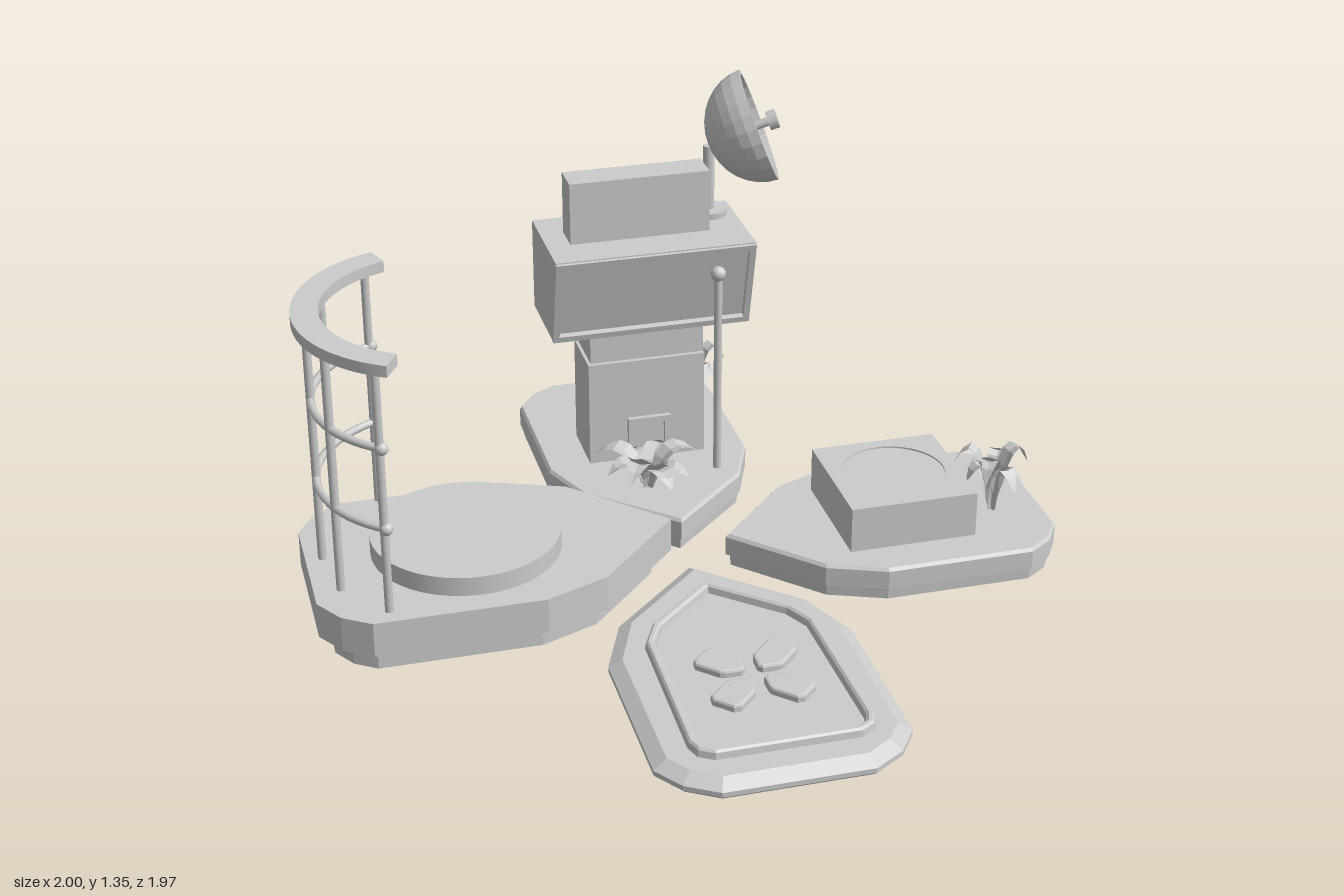
import * as THREE from 'three';

const grey = new THREE.MeshStandardMaterial({ color: 0xcccccc });
const flat = new THREE.MeshStandardMaterial({ color: 0xcccccc, flatShading: true });
const flatThin = new THREE.MeshStandardMaterial({ color: 0xcccccc, flatShading: true, side: THREE.DoubleSide });

function add(parent, name, geo, mat, x = 0, y = 0, z = 0) {
  const m = new THREE.Mesh(geo, mat);
  m.name = name;
  m.position.set(x, y, z);
  parent.add(m);
  return m;
}

function group(parent, name, x = 0, y = 0, z = 0, turn = 0) {
  const g = new THREE.Group();
  g.name = name;
  g.position.set(x, y, z);
  g.rotation.y = turn;
  parent.add(g);
  return g;
}

// Petal outlines: a tip at (-,-), then one half mirrored across the diagonal.
const mirrored = (tip, half) => [[tip, tip], ...half, ...half.map(([a, b]) => [b, a]).reverse()];
const petalOutline = mirrored(-0.43, [[-0.44, -0.08], [-0.365, 0.095], [-0.04, 0.42], [0.05, 0.437], [0.145, 0.415]]);
const frameOutline = mirrored(-0.38, [[-0.393, -0.09], [-0.36, 0.005], [-0.01, 0.37], [0.035, 0.392], [0.085, 0.38]]);

// Loft of an outline through layers of [height, inset]; a null inset closes it at the centre.
function slab(outline, sx, sz, size, layers) {
  const loop = outline.map(([a, b]) => [a * sx * size, b * sz * size]);
  if (sx * sz < 0) loop.reverse();
  const n = loop.length, pos = [];
  const normal = loop.map(([x, z], i) => {
    const [x2, z2] = loop[(i + 1) % n], l = Math.hypot(x2 - x, z2 - z);
    return [(z - z2) / l, (x2 - x) / l];
  });
  const at = ([y, inset], i) => {
    if (inset === null) return [0, y, 0];
    const a = normal[(i + n - 1) % n], b = normal[i % n], [x, z] = loop[i % n];
    const k = inset / (1 + a[0] * b[0] + a[1] * b[1]);
    return [x - k * (a[0] + b[0]), y, z - k * (a[1] + b[1])];
  };
  for (let l = 0; l < layers.length - 1; l++) {
    const low = layers[l], high = layers[l + 1];
    for (let i = 0; i < n; i++) {
      if (low[1] !== null) pos.push(...at(low, i), ...at(low, i + 1), ...at(high, i + 1));
      if (high[1] !== null) pos.push(...at(low, i), ...at(high, i + 1), ...at(high, i));
    }
  }
  const g = new THREE.BufferGeometry();
  g.setAttribute('position', new THREE.Float32BufferAttribute(pos, 3));
  g.computeVertexNormals();
  return g;
}

const shapeOf = (points) => new THREE.Shape(points.map(([x, y]) => new THREE.Vector2(x, y)));
const rectShape = (w, h) => shapeOf([[-w / 2, -h / 2], [w / 2, -h / 2], [w / 2, h / 2], [-w / 2, h / 2]]);
const extrude = (shape, depth) => new THREE.ExtrudeGeometry(shape, { depth, bevelEnabled: false, curveSegments: 24 });

// Arching, pointed leaf with a diamond section.
function leaf(reach, height, width) {
  const g = new THREE.CylinderGeometry(1, 1, 1, 4, 6), p = g.attributes.position;
  for (let i = 0; i < p.count; i++) {
    const t = p.getY(i) + 0.5;
    const w = width * (0.35 + 1.5 * t) * (1 - t ** 2.2);
    const nz = p.getZ(i) * w * 0.25;
    p.setXYZ(i, p.getX(i) * w,
      height * Math.sin(t * 2.4) + nz * Math.sin(t * 1.5),
      reach * t ** 1.3 - nz * Math.cos(t * 1.5));
  }
  g.computeVertexNormals();
  return g;
}

function plant(parent, x, z, reach, height, width) {
  const g = group(parent, 'plant', x, 0.1, z);
  for (let i = 0; i < 8; i++) {
    const k = 0.88 + 0.12 * Math.sin(i * 2.4);
    add(g, 'leaf', leaf(reach * k, height * (1.05 - 0.15 * (i % 3)), width), flat).rotation.y = i * Math.PI / 4 + 0.2;
  }
}

// Curve along an arc in the ground plane.
class Arc extends THREE.Curve {
  constructor(r, a, b) { super(); Object.assign(this, { r, a, b }); }
  getPoint(t, v = new THREE.Vector3()) {
    const q = this.a + (this.b - this.a) * t;
    return v.set(this.r * Math.cos(q), 0, this.r * Math.sin(q));
  }
}

function buttonPetal(root) {
  const g = group(root, 'buttonPetal', 0.507, 0, 0.49);
  add(g, 'base', slab(petalOutline, 1, 1, 1.13, [[0, null], [0, 0.01], [0.01, 0], [0.025, 0], [0.05, 0.04], [0.05, null]]), flat);
  add(g, 'raisedFrame', slab(frameOutline, 1, 1, 1, [[0.045, 0], [0.07, 0.004], [0.076, 0.01], [0.076, 0.02], [0.07, 0.027], [0.045, 0.032]]), flat, 0.008);
  const s = shapeOf([[-0.03, 0.17], [-0.04, 0.16], [-0.04, 0.085], [-0.035, 0.075], [-0.005, 0.044],
    [0.005, 0.044], [0.035, 0.075], [0.04, 0.085], [0.04, 0.16], [0.03, 0.17]]);
  const geo = new THREE.ExtrudeGeometry(s, { depth: 0.02, bevelSize: 0.009, bevelThickness: 0.008, bevelSegments: 2 });
  geo.rotateX(-Math.PI / 2);
  for (let i = 0; i < 4; i++) add(g, 'button', geo, grey, -0.007, 0.045, -0.02).rotation.y = i * Math.PI / 2;
}

function railingPetal(root) {
  const g = group(root, 'railingPetal', -0.515, 0, 0.48);
  add(g, 'base', slab(petalOutline, -1, 1, 1.1, [[0, null], [0, 0.045], [0.07, 0.045], [0.07, 0], [0.18, 0], [0.18, null]]), flat);
  add(g, 'platform', new THREE.CylinderGeometry(0.285, 0.285, 0.06, 48), grey, 0.025, 0.21, -0.03);
  const r = group(g, 'railing', -0.005, 0, -0.002), rad = THREE.MathUtils.degToRad;
  const cap = new THREE.Shape();
  cap.absarc(0, 0, 0.425, rad(75), rad(206), false);
  cap.absarc(0, 0, 0.345, rad(206), rad(75), true);
  const top = extrude(cap, 0.035);
  top.rotateX(Math.PI / 2);
  add(r, 'topRail', top, grey, 0, 0.985, 0);
  for (let i = 0; i < 5; i++) {
    const q = rad(83 + 29 * i);
    add(r, 'post', new THREE.CylinderGeometry(0.013, 0.013, 0.78, 10), grey, 0.385 * Math.cos(q), 0.565, 0.385 * Math.sin(q));
  }
  for (const y of [0.45, 0.705]) {
    add(r, 'rail', new THREE.TubeGeometry(new Arc(0.385, rad(81), rad(201)), 24, 0.012, 8), grey, 0, y, 0);
    for (const q of [rad(82), rad(200)]) {
      add(r, 'railKnob', new THREE.SphereGeometry(0.02, 12, 8), grey, 0.385 * Math.cos(q), y, 0.385 * Math.sin(q));
    }
  }
}

const lowLayers = [[0, null], [0, 0.012], [0.035, 0.01], [0.04, 0], [0.1, 0], [0.11, 0.008], [0.11, null]];

function pedestalPetal(root) {
  const g = group(root, 'pedestalPetal', 0.52, 0, -0.53);
  add(g, 'base', slab(petalOutline, 1, -1, 1, lowLayers), flat);
  // Square pedestal with a shallow round recess.
  const s = rectShape(0.4, 0.4);
  s.holes.push(new THREE.Path().absarc(0, 0, 0.16, 0, Math.PI * 2, true));
  const geo = extrude(s, 0.15);
  geo.rotateX(-Math.PI / 2);
  add(g, 'pedestal', geo, grey, -0.05, 0.105, 0.05).rotation.y = Math.PI / 4;
  add(g, 'recessFloor', new THREE.CylinderGeometry(0.162, 0.162, 0.14, 48), grey, -0.05, 0.18, 0.05);
  plant(g, 0.21, -0.12, 0.13, 0.21, 0.034);
}

// Thin box shell, open at the back and below; z is its front face.
function shell(parent, name, w, h, d, x, y, z) {
  const g = group(parent, name, x, y, z), e = 0.008;
  add(g, 'frontPanel', new THREE.BoxGeometry(w, h, e), grey, 0, h / 2, -e / 2);
  add(g, 'topPanel', new THREE.BoxGeometry(w, e, d), grey, 0, h - e / 2, -d / 2);
  for (const s of [-1, 1]) add(g, 'sidePanel', new THREE.BoxGeometry(e, h, d), grey, s * (w - e) / 2, h / 2, -d / 2);
}

function towerPetal(root) {
  const g = group(root, 'towerPetal', -0.505, 0, -0.543);
  add(g, 'base', slab(petalOutline, -1, -1, 1.01, lowLayers), flat);
  plant(g, 0.065, -0.267, 0.13, 0.21, 0.034);
  plant(g, 0.235, 0.303, 0.18, 0.135, 0.045);

  const t = group(root, 'tower', -0.41, 0, -0.455, Math.PI / 4);
  shell(t, 'upperColumn', 0.37, 0.42, 0.19, 0, 0.46, 0.04);
  shell(t, 'lowerColumn', 0.38, 0.35, 0.205, -0.005, 0.11, 0.055);
  // Door frame on the front, with its niche projecting inside the column.
  const door = rectShape(0.14, 0.15);
  door.holes.push(rectShape(0.1, 0.11));
  add(t, 'doorFrame', extrude(door, 0.02), grey, 0, 0.185, 0.052);
  add(t, 'doorNiche', new THREE.BoxGeometry(0.14, 0.14, 0.06), grey, 0, 0.18, 0.024);

  // Head: side panels, roof and a sloping framed screen; open behind and below.
  const side = shapeOf([[0.175, 0.585], [-0.09, 0.585], [-0.168, 0.88], [0.175, 0.88]]);
  const sideGeo = extrude(side, 0.01);
  sideGeo.rotateY(Math.PI / 2);
  for (const x of [-0.3175, 0.3075]) add(t, 'headSide', sideGeo, grey, x);
  add(t, 'headRoof', new THREE.BoxGeometry(0.635, 0.01, 0.35), grey, 0, 0.875, 0);
  const screen = group(t, 'screen', 0, 0.7325, 0.121);
  screen.rotation.x = Math.atan2(0.078, 0.295);
  const frame = rectShape(0.635, 0.305);
  frame.holes.push(rectShape(0.595, 0.265));
  add(screen, 'screenFrame', extrude(frame, 0.024), grey);
  add(screen, 'screenPanel', new THREE.BoxGeometry(0.63, 0.3, 0.01), grey);
  shell(t, 'roofBox', 0.445, 0.2, 0.106, -0.02, 0.88, 0.046);

  // Antenna beside the column.
  add(root, 'antenna', new THREE.CylinderGeometry(0.013, 0.013, 0.69, 10), grey, -0.145, 0.445, -0.465);
  add(root, 'antennaTip', new THREE.SphereGeometry(0.024, 14, 10), grey, -0.145, 0.79, -0.465);
}

function dish(root) {
  add(root, 'dishFoot', new THREE.CylinderGeometry(0.06, 0.06, 0.02, 20), grey, -0.305, 0.89, -0.685);
  add(root, 'dishPost', new THREE.CylinderGeometry(0.018, 0.018, 0.23, 12), grey, -0.305, 0.995, -0.685);
  const d = group(root, 'dish', -0.163, 1.184, -0.752);
  d.quaternion.setFromUnitVectors(new THREE.Vector3(0, 1, 0), new THREE.Vector3(0.79, 0.35, -0.5).normalize());
  // Bowl profile: outside, lip, inside.
  const pts = [];
  for (const [r, depth, from, step] of [[0.182, 0.17, 0, 1], [0.167, 0.155, 8, -1]]) {
    for (let i = from; i >= 0 && i <= 8; i += step) {
      const a = i / 8 * Math.PI / 2;
      pts.push(new THREE.Vector2(r * Math.sin(a), -depth * Math.cos(a)));
    }
  }
  add(d, 'bowl', new THREE.LatheGeometry(pts, 24), flatThin);
  add(d, 'feedRod', new THREE.CylinderGeometry(0.014, 0.014, 0.2, 10), grey, 0, -0.06, 0);
  add(d, 'feedTip', new THREE.CylinderGeometry(0.03, 0.03, 0.03, 14), grey, 0, 0.045, 0);
}

export function createModel() {
  const root = new THREE.Group();
  root.name = 'petalStation';
  buttonPetal(root);
  railingPetal(root);
  pedestalPetal(root);
  towerPetal(root);
  dish(root);
  return root;
}
